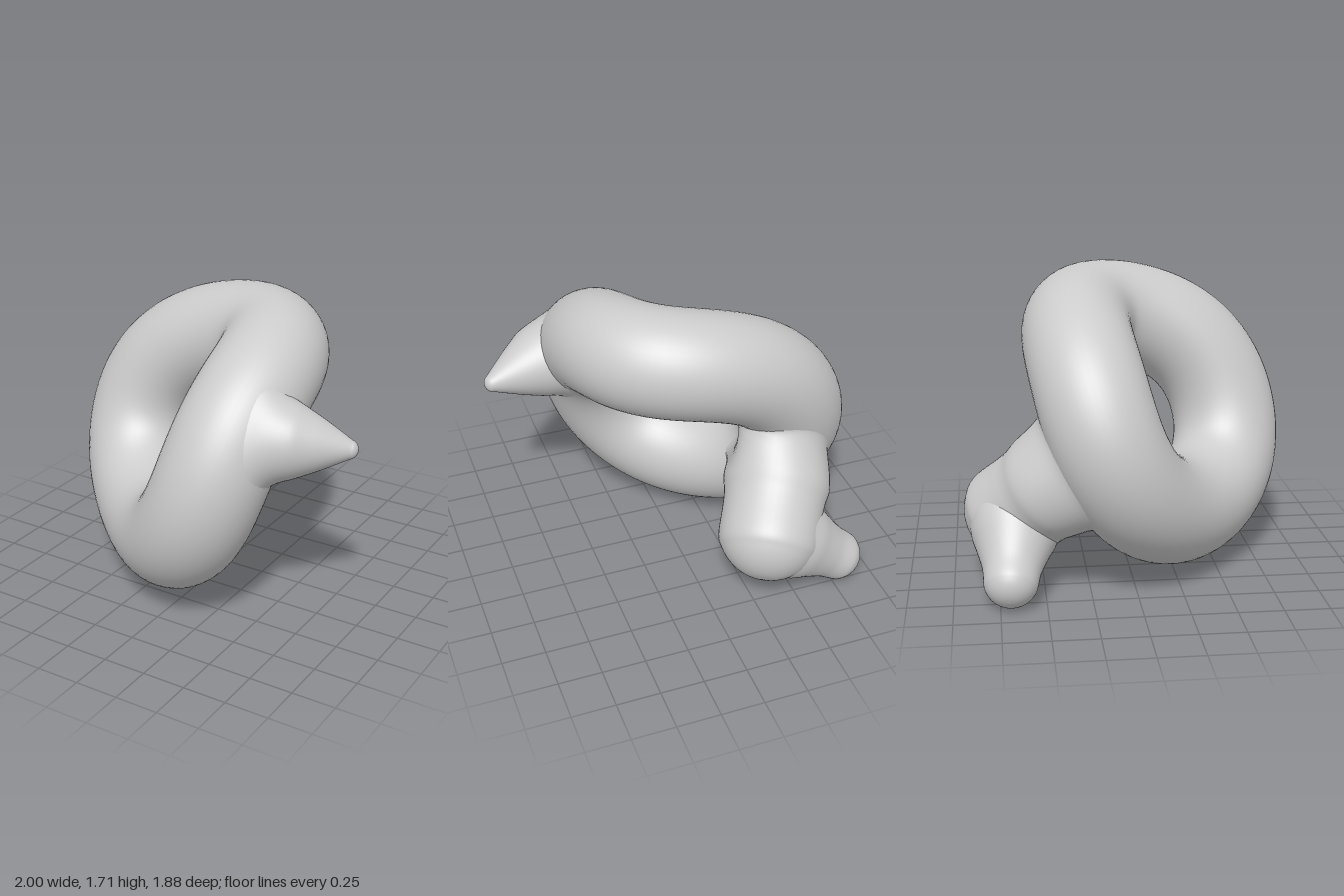
import * as THREE from 'three';
import { mergeVertices } from 'three/addons/utils/BufferGeometryUtils.js';

const V = (x, y, z) => new THREE.Vector3(x, y, z);
const material = new THREE.MeshStandardMaterial({ color: 0xcccccc });
const TUBE = 0.31;

// Tilted circle, gently warped out of its plane
class RingCurve extends THREE.Curve {
  constructor(center, normal, radius) {
    super();
    this.center = center;
    this.radius = radius;
    this.normal = normal.clone().normalize();
    this.up = V(0, 1, 0).addScaledVector(this.normal, -this.normal.y).normalize();
    this.side = this.up.clone().cross(this.normal);
    this.bend = V(0.13, 0, -0.09);
  }
  getPoint(t, target = V(0, 0, 0)) {
    const c = Math.cos(t * Math.PI * 2), s = Math.sin(t * Math.PI * 2);
    return target.copy(this.center)
      .addScaledVector(this.side, this.radius * c)
      .addScaledVector(this.up, this.radius * s)
      .addScaledVector(this.bend, s * s)
      .addScaledVector(this.normal, 0.055 * (c * (1 + s)) ** 2);
  }
}

// Round limb turned about the line from -> to. Profile holds [radius, distance],
// and a round cap of the given radius closes it around the point "to".
function limb(from, to, profile, capRadius) {
  const axis = to.clone().sub(from);
  const length = axis.length();
  const points = profile.map(([r, d]) => new THREE.Vector2(r, d));
  for (let i = 1; i <= 6; i++) {
    const a = (i / 6) * Math.PI / 2;
    points.push(new THREE.Vector2(capRadius * Math.cos(a), length + capRadius * Math.sin(a)));
  }
  const smooth = new THREE.SplineCurve(points).getPoints(60);
  smooth.forEach((p) => { p.x = Math.max(p.x, 0); });
  const turn = new THREE.Quaternion().setFromUnitVectors(V(0, 1, 0), axis.normalize());
  const geometry = new THREE.LatheGeometry(smooth, 48);
  return geometry.applyQuaternion(turn).translate(from.x, from.y, from.z);
}

// Draws the root of a limb onto the ring's skin, fading out between two distances
function blendIntoRing(geometry, samples, from, to, start, end) {
  const axis = to.clone().sub(from).normalize();
  const pos = geometry.attributes.position;
  const p = V(0, 0, 0), onSkin = V(0, 0, 0);
  for (let i = 0; i < pos.count; i++) {
    p.fromBufferAttribute(pos, i);
    const d = p.clone().sub(from).dot(axis);
    const weight = 1 - THREE.MathUtils.smoothstep(d, start, end);
    if (weight === 0) continue;
    const nearest = samples.reduce((a, b) => (p.distanceToSquared(b) < p.distanceToSquared(a) ? b : a));
    onSkin.copy(p).sub(nearest).setLength(TUBE - 0.006).add(nearest);
    p.lerp(onSkin, weight);
    pos.setXYZ(i, p.x, p.y, p.z);
  }
  geometry.deleteAttribute('uv');
  geometry.deleteAttribute('normal');
  const merged = mergeVertices(geometry);
  merged.computeVertexNormals();
  return merged;
}

export function createModel() {
  const group = new THREE.Group();
  group.name = 'ringWithHornAndKnob';
  const add = (name, geometry) => {
    const mesh = new THREE.Mesh(geometry, material);
    mesh.name = name;
    group.add(mesh);
  };

  // Thick tilted ring
  const path = new RingCurve(V(-0.162, 0.885, 0.175), V(-0.53, 0.54, 0.65), 0.62);
  const samples = path.getPoints(400);
  add('ring', new THREE.TubeGeometry(path, 128, TUBE, 48, true));

  // Pointed horn with a flared root
  const hornRoot = V(0.36, 1.15, 0.54), hornTip = V(0.948, 1.11, 0.34);
  const horn = limb(hornRoot, hornTip,
    [[0.34, 0.12], [0.285, 0.21], [0.23, 0.3], [0.185, 0.39], [0.14, 0.48], [0.085, 0.58]], 0.055);
  add('horn', blendIntoRing(horn, samples, hornRoot, hornTip, 0.12, 0.36));

  // Bulging knob growing from the back of the ring
  const knobRoot = V(-0.65, 0.82, -0.2), knobEnd = V(-0.38, 0.42, -0.64);
  const knob = limb(knobRoot, knobEnd,
    [[0.38, 0.15], [0.355, 0.25], [0.325, 0.35], [0.295, 0.46], [0.288, 0.56]], 0.297);
  add('knob', blendIntoRing(knob, samples, knobRoot, knobEnd, 0.15, 0.42));

  // Small nub at the end of the knob
  add('nub', limb(V(-0.45, 0.38, -0.65), V(-0.785, 0.155, -0.69),
    [[0.26, 0.02], [0.235, 0.13], [0.2, 0.22], [0.172, 0.3], [0.156, 0.36]], 0.15));

  return group;
}
